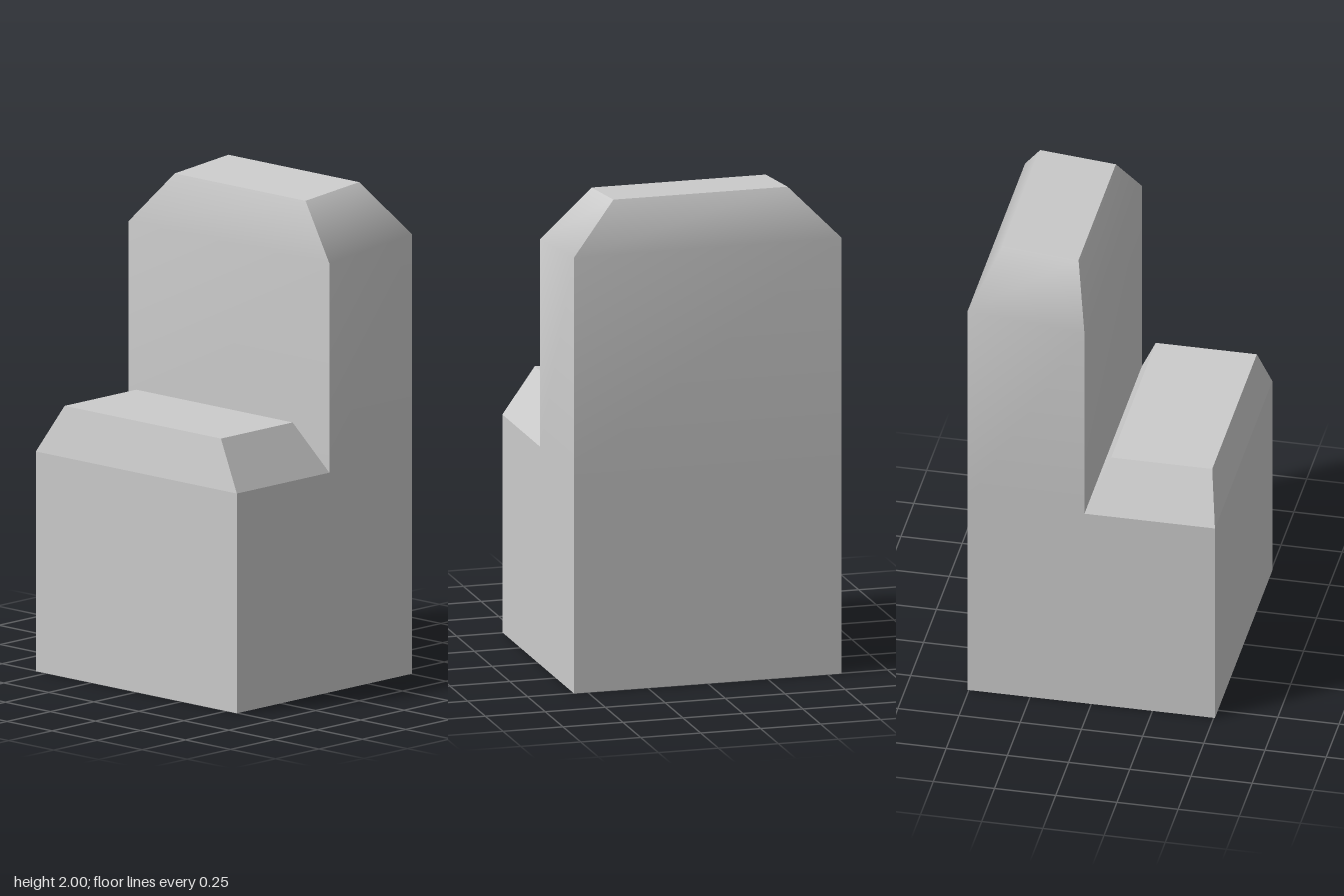
import * as THREE from 'three';

const HALF = 0.558, BACK = -0.505, MID = -0.028, FRONT = 0.505;

// A level is a four-cornered ring: half width, front z, back z, front y, back y.
const level = (w, zf, zb, yf, yb = yf) => [[-w, yf, zf], [w, yf, zf], [w, yb, zb], [-w, yb, zb]];

// Stacks levels into a block. Each side is its own strip, so bevels blend into
// their wall while the corners stay sharp. isOpen(side, step) leaves hidden faces out.
function loft(name, levels, flatShading, isOpen) {
  const positions = [], index = [];
  const addPoint = (p) => positions.push(...p) / 3 - 1;
  const addQuad = (a, b, c, d) => index.push(a, b, c, a, c, d);

  for (let side = 0; side < 4; side++) { // front, left, back, right
    const strip = levels.map((l) => [addPoint(l[side]), addPoint(l[(side + 1) % 4])]);
    for (let i = 0; i + 1 < strip.length; i++) {
      if (isOpen(side, i)) continue;
      addQuad(strip[i][0], strip[i][1], strip[i + 1][1], strip[i + 1][0]);
    }
  }
  // Bottom and top caps
  addQuad(...[...levels[0]].reverse().map(addPoint));
  addQuad(...levels[levels.length - 1].map(addPoint));

  const geometry = new THREE.BufferGeometry();
  geometry.setAttribute('position', new THREE.Float32BufferAttribute(positions, 3));
  geometry.setIndex(index);
  geometry.computeVertexNormals();
  const mesh = new THREE.Mesh(geometry, new THREE.MeshStandardMaterial({ color: 0xcccccc, flatShading }));
  mesh.name = name;
  return mesh;
}

export function createModel() {
  const model = new THREE.Group();
  model.name = 'steppedBlock';

  // Low front block with a crisp bevelled top; its back wall is hidden by the tall block
  model.add(loft('frontBlock', [
    level(HALF, FRONT, MID, 0),
    level(HALF, FRONT, MID, 0.9),
    level(0.434, 0.468, 0.055, 1.1),
  ], true, (side, step) => side === 2 && step === 0));

  // Tall back block with softly shaded bevels and a slightly sloping top
  model.add(loft('backBlock', [
    level(HALF, MID, BACK, 0),
    level(HALF, MID, BACK, 0.9),
    level(HALF, MID, BACK, 1.757, 1.8),
    level(0.363, -0.093, -0.402, 1.973, 2),
  ], false, (side, step) => side === 0 && step === 0));

  return model;
}
